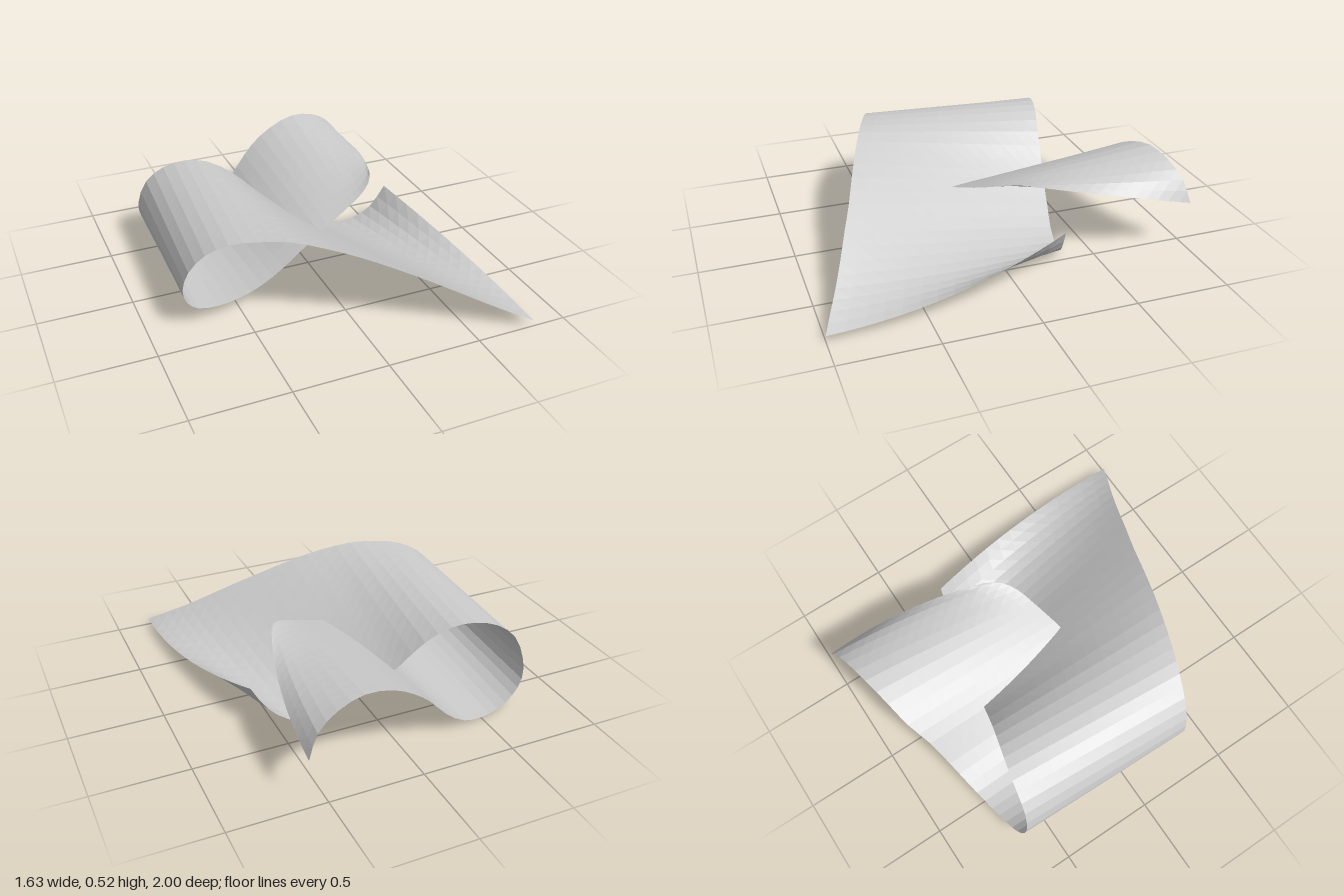
import * as THREE from 'three';

// Matching points along the two long edges of the ribbon
const FRONT = [
  [0.815, 0.04, 1.0], [0.7, 0.09, 0.95], [0.59, 0.14, 0.9], [0.46, 0.205, 0.845], [0.32, 0.275, 0.79],
  [0.17, 0.345, 0.73], [0, 0.42, 0.67], [-0.17, 0.48, 0.61], [-0.33, 0.52, 0.55], [-0.47, 0.525, 0.5],
  [-0.6, 0.51, 0.45], [-0.71, 0.455, 0.41], [-0.79, 0.36, 0.38], [-0.82, 0.25, 0.36], [-0.8, 0.17, 0.35],
  [-0.74, 0.11, 0.335], [-0.63, 0.075, 0.305], [-0.5, 0.07, 0.275], [-0.36, 0.095, 0.24], [-0.23, 0.145, 0.205],
  [-0.11, 0.21, 0.175], [0.01, 0.275, 0.143], [0.12, 0.32, 0.108], [0.22, 0.36, 0.073], [0.3, 0.395, 0.04],
  [0.37, 0.425, -0.015], [0.42, 0.44, -0.1],
];
const BACK = [
  [0.61, 0.23, -0.28], [0.53, 0.1, -0.3], [0.43, 0.025, -0.33], [0.32, 0.005, -0.355], [0.2, 0.035, -0.38],
  [0.08, 0.105, -0.41], [-0.03, 0.18, -0.435], [-0.14, 0.275, -0.46], [-0.27, 0.4, -0.49], [-0.4, 0.475, -0.525],
  [-0.52, 0.49, -0.555], [-0.64, 0.46, -0.58], [-0.74, 0.38, -0.6], [-0.79, 0.24, -0.625], [-0.775, 0.14, -0.65],
  [-0.71, 0.065, -0.67], [-0.61, 0.02, -0.69], [-0.5, 0.01, -0.71], [-0.38, 0.04, -0.735], [-0.25, 0.135, -0.765],
  [-0.13, 0.265, -0.8], [-0.01, 0.37, -0.85], [0.12, 0.445, -0.88], [0.28, 0.485, -0.915], [0.43, 0.455, -0.945],
  [0.54, 0.385, -0.975], [0.595, 0.27, -1.0],
];
const rail = (points) => new THREE.CatmullRomCurve3(points.map((p) => new THREE.Vector3(...p)));

// Open sheet spanned between two rails, with outward bulge at both ends
function ribbonGeometry(along, across) {
  const front = rail(FRONT), back = rail(BACK);
  const startBulge = new THREE.Vector3(0.055, -0.035, 0);
  const endBulge = new THREE.Vector3(0.042, 0.012, 0);
  const positions = [], index = [];
  for (let i = 0; i <= along; i++) {
    const t = i / along;
    const a = front.getPoint(t), b = back.getPoint(t);
    const startWeight = Math.max(0, 1 - t / 0.18) ** 2;
    const endWeight = Math.max(0, 1 - (1 - t) / 0.18) ** 2;
    for (let j = 0; j <= across; j++) {
      const v = j / across, bow = 4 * v * (1 - v);
      const p = a.clone().lerp(b, v)
        .addScaledVector(startBulge, bow * startWeight)
        .addScaledVector(endBulge, bow * endWeight);
      positions.push(p.x, p.y, p.z);
      if (i < along && j < across) {
        const k = i * (across + 1) + j, n = k + across + 1;
        index.push(k, k + 1, n, n, k + 1, n + 1);
      }
    }
  }
  const geometry = new THREE.BufferGeometry();
  geometry.setAttribute('position', new THREE.Float32BufferAttribute(positions, 3));
  geometry.setIndex(index);
  geometry.computeVertexNormals();
  return geometry;
}

export function createModel() {
  const group = new THREE.Group();
  group.name = 'loopedRibbon';
  const material = new THREE.MeshStandardMaterial({ color: 0xcccccc, flatShading: true, side: THREE.DoubleSide });
  // Single sheet that loops on one side and crosses through itself
  const ribbon = new THREE.Mesh(ribbonGeometry(52, 14), material);
  ribbon.name = 'ribbonSheet';
  group.add(ribbon);
  return group;
}
